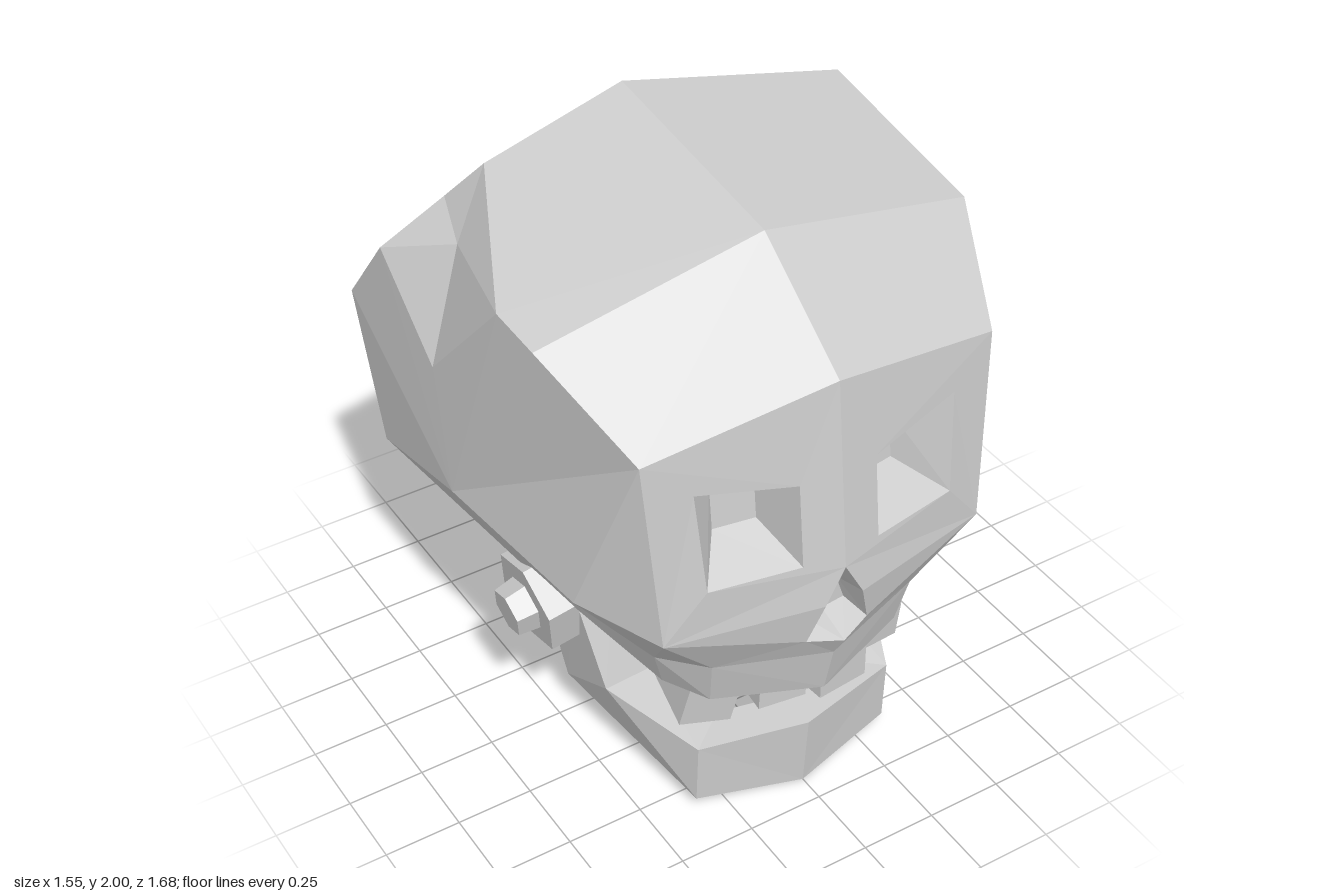
import * as THREE from 'three';

const material = new THREE.MeshStandardMaterial({ color: 0xcccccc, flatShading: true });

// Collects flat polygons; side -1 mirrors the points across x = 0
class Faces {
  constructor() { this.positions = []; }
  add(side, pts) {
    const p = pts.map(([x, y, z]) => [x * side, y, z]);
    if (side < 0) p.reverse().unshift(p.pop());
    for (let i = 1; i < p.length - 1; i++) this.positions.push(...p[0], ...p[i], ...p[i + 1]);
  }
  both(pts) { this.add(1, pts); this.add(-1, pts); }
  mesh(name) {
    const g = new THREE.BufferGeometry();
    g.setAttribute('position', new THREE.Float32BufferAttribute(this.positions, 3));
    g.computeVertexNormals();
    const m = new THREE.Mesh(g, material);
    m.name = name;
    return m;
  }
}

// Landmarks of one half; names ending in m lie on the midline
const V = {
  A: [0.59, 1.52, 0.68], B: [0.72, 1.75, 0.35], D: [0.74, 1.835, -0.33],
  E: [0.765, 1.33, -0.73], F: [0.74, 0.81, -0.63], G: [0.365, 0.39, -0.4],
  C: [0.775, 0.98, -0.1], H: [0.63, 0.73, 0.02], K: [0.69, 0.93, 0.47], S: [0.55, 0.89, 0.73],
  // upper jaw: side corners, then front corners
  M: [0.46, 0.65, 0.53], N: [0.41, 0.5, 0.49], P: [0.41, 0.5, 0.25],
  L: [0.355, 0.675, 0.68], J: [0.335, 0.505, 0.64],
  Am: [0, 1.63, 0.76], Bm: [0, 1.905, 0.38], Dm: [0, 2, -0.38], Em: [0, 1.43, -0.84],
  Fm: [0, 0.73, -0.73], Gm: [0, 0.43, -0.5], Pm: [0, 0.5, 0.25], Nm: [0, 0.475, 0.75],
  // nose opening
  Tm: [0, 1.01, 0.829], X: [0.065, 0.89, 0.83], R: [0.107, 0.75, 0.8],
  Vm: [0, 0.735, 0.84], Qm: [0, 0.65, 0.79],
  // broken corner
  t1: [0.755, 1.61, -0.51], t2: [0.56, 1.75, -0.46], t3: [0.48, 1.893, -0.35],
  t4: [0.73, 1.773, 0.17], t6: [0.62, 1.71, -0.27], t7: [0.76, 1.37, -0.2],
};
const pick = (names) => names.split(' ').map((n) => V[n]);

// The forehead and eye area lie on one plane per half
const onFace = ([x, y], depth = 0) => [x, y, 0.83 - 0.111 * (y - 1) - 0.165 * x - depth];

function skull() {
  const f = new Faces();
  const shared = [
    // roof, back, base
    'A B Bm Am', 'E F Fm Em', 'F G Gm Fm', 'G P Pm Gm', 'Pm P N J Nm',
    // temple and cheek
    'C B A', 'C F E', 'C H F', 'C M H', 'C K M', 'C A K', 'S M K', 'A S K',
    'M N H', 'N P H', 'P G H', 'F H G',
    // upper jaw
    'S X R', 'S R L', 'S L M', 'R Qm L', 'R Vm Qm', 'L Qm Nm J', 'M L J N',
  ];
  const whole = ['C D B', 'C E D', 'B D Dm Bm', 'D E Em Dm'];
  const broken = [
    'C E t1', 'C t1 t7', 'C t7 t4', 'C t4 B', 'Bm B t4 t3 Dm', 'Em Dm t3 t2 t1 E',
    't6 t3 t4', 't6 t4 t7', 't6 t7 t1', 't6 t1 t2', 't6 t2 t3',
  ];
  shared.forEach((n) => f.both(pick(n)));
  whole.forEach((n) => f.add(1, pick(n)));
  broken.forEach((n) => f.add(-1, pick(n)));

  // forehead plate with an eye opening
  const v2 = (a) => a.map(([x, y]) => new THREE.Vector2(x, y));
  const outline = pick('Am Tm X S A');
  const eye = [[0.13, 1.05], [0.42, 1.055], [0.44, 1.385], [0.13, 1.325]];
  const eyeBack = [[0.175, 1.13], [0.31, 1.13], [0.31, 1.285], [0.175, 1.25]];
  const hole = [...eye].reverse();
  const corners = [...outline, ...hole.map((p) => onFace(p))];
  for (const t of THREE.ShapeUtils.triangulateShape(v2(outline), [v2(hole)])) {
    f.both(t.map((i) => corners[i]));
  }

  // eye socket walls and back
  const rim = eye.map((p) => onFace(p));
  const deep = eyeBack.map((p) => onFace(p, 0.16));
  rim.forEach((p, i) => {
    const j = (i + 1) % rim.length;
    f.both([p, rim[j], deep[j], deep[i]]);
  });
  f.both(deep);

  // nose recess: rim pulled inwards
  const nose = pick('Tm X R Vm');
  const inner = nose.map(([x, y]) => [x * 0.72, 0.84 + (y - 0.84) * 0.65, 0.72]);
  for (let i = 0; i < 3; i++) f.both([nose[i + 1], nose[i], inner[i], inner[i + 1]]);
  f.both([inner[0], inner[3], inner[2], inner[1]]);
  return f.mesh('skull');
}

// Lower jaw: four-cornered sections from chin to hinge
function lowerJaw() {
  const f = new Faces();
  const sections = [
    [[0, 0.265, 0.68], [0, 0.275, 0.55], [0, 0.03, 0.48], [0, 0, 0.66]],
    [[0.35, 0.265, 0.6], [0.22, 0.275, 0.5], [0.22, 0.05, 0.45], [0.35, 0.045, 0.59]],
    [[0.49, 0.34, 0.29], [0.32, 0.34, 0.28], [0.32, 0.21, -0.02], [0.48, 0.19, 0.03]],
    [[0.53, 0.66, 0.18], [0.39, 0.66, 0.18], [0.39, 0.62, -0.07], [0.53, 0.62, -0.07]],
  ];
  for (let s = 0; s < sections.length - 1; s++) {
    const a = sections[s], b = sections[s + 1];
    for (let k = 0; k < 4; k++) {
      const n = (k + 1) % 4;
      f.both([a[k], b[k], b[n], a[n]]);
    }
  }
  f.both([...sections[3]].reverse());
  return f.mesh('lowerJaw');
}

// Six-sided hinge bolt, tilted slightly down
function hingeBolt(side) {
  const g = new THREE.Group();
  g.name = side > 0 ? 'leftHingeBolt' : 'rightHingeBolt';
  const parts = [['boltDisc', 0.165, 0.165, 0.13, 0], ['boltHead', 0.078, 0.088, 0.07, 0.1]];
  for (const [name, top, bottom, height, y] of parts) {
    const m = new THREE.Mesh(new THREE.CylinderGeometry(top, bottom, height, 6), material);
    m.name = name;
    m.position.y = y;
    m.rotation.y = side * (Math.PI / 2 + 0.22);
    g.add(m);
  }
  g.position.set(side * 0.56, 0.59, 0.05);
  g.rotation.z = -side * (Math.PI / 2 + 0.16);
  return g;
}

// Uneven upper teeth: centre, size, tilt
function teeth() {
  const g = new THREE.Group();
  g.name = 'upperTeeth';
  const list = [
    [[-0.275, 0.43, 0.47], [0.17, 0.15, 0.24], [0.08, -0.2, -0.2]],
    [[-0.085, 0.46, 0.6], [0.16, 0.13, 0.14], [0, -0.1, -0.04]],
    [[0.13, 0.41, 0.59], [0.18, 0.15, 0.14], [0, 0.1, 0]],
    [[0.315, 0.435, 0.46], [0.15, 0.13, 0.25], [0.08, 0.12, -0.08]],
  ];
  for (const [center, size, tilt] of list) {
    const m = new THREE.Mesh(new THREE.BoxGeometry(...size), material);
    m.name = 'tooth';
    m.position.set(...center);
    m.rotation.set(...tilt);
    g.add(m);
  }
  return g;
}

export function createModel() {
  const model = new THREE.Group();
  model.name = 'skullModel';
  model.add(skull(), lowerJaw(), teeth(), hingeBolt(1), hingeBolt(-1));
  return model;
}
